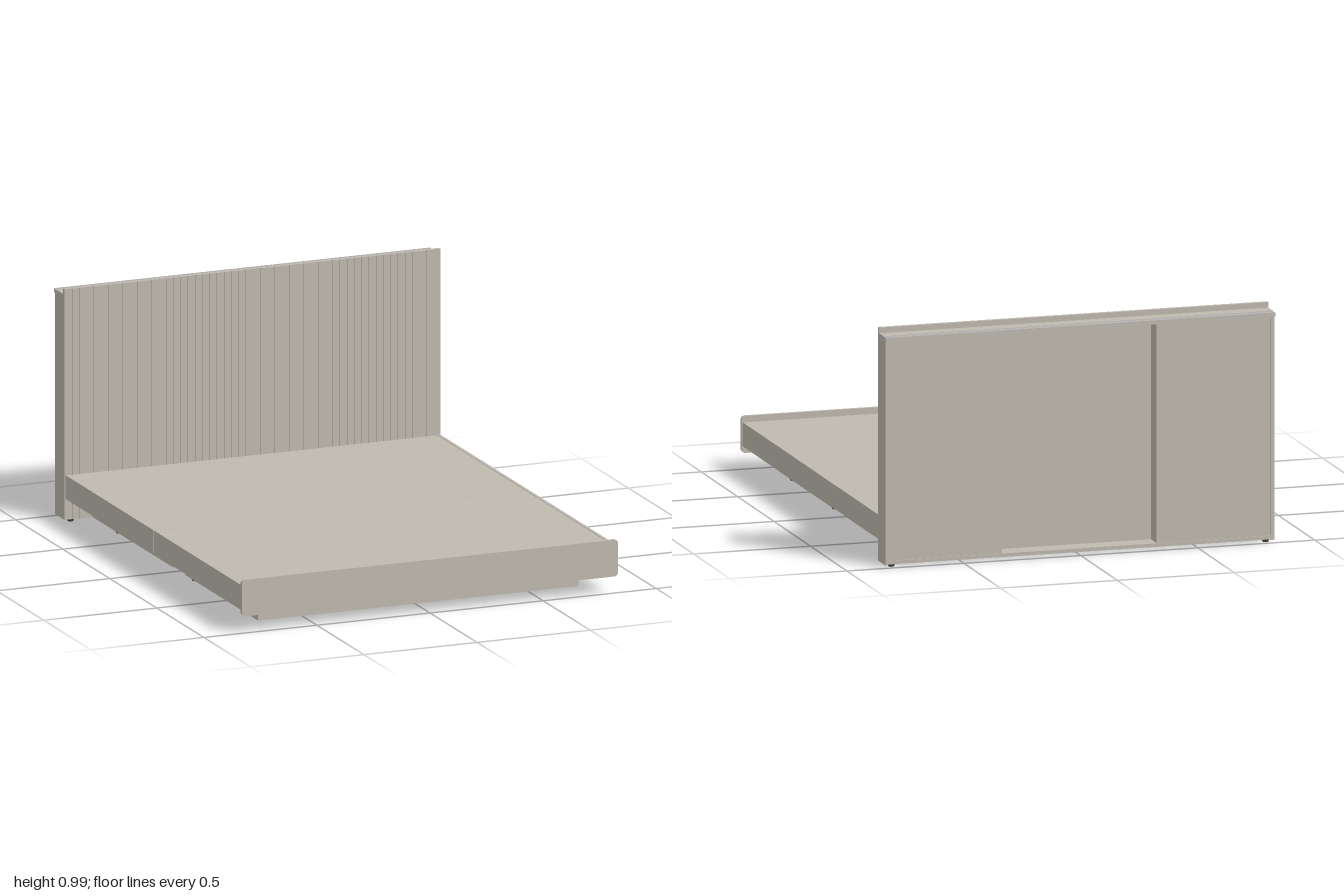
import * as THREE from 'three';

export function createModel() {
  const bed = new THREE.Group();
  bed.name = 'bed';
  const body = new THREE.MeshStandardMaterial({ color: 0xbfbab0 });
  body.name = 'warm grey board';
  const metal = new THREE.MeshStandardMaterial({ color: 0xb4b4b6 });
  metal.name = 'grey rail';
  const dark = new THREE.MeshStandardMaterial({ color: 0x4a4947 });
  dark.name = 'dark foot';

  const group = (name) => {
    const g = new THREE.Group();
    g.name = name;
    bed.add(g);
    return g;
  };
  // Box given by its limits on each axis
  const box = (parent, name, x0, x1, y0, y1, z0, z1, mat = body) => {
    const m = new THREE.Mesh(new THREE.BoxGeometry(x1 - x0, y1 - y0, z1 - z0), mat);
    m.position.set((x0 + x1) / 2, (y0 + y1) / 2, (z0 + z1) / 2);
    m.name = name;
    parent.add(m);
    return m;
  };

  // Platform: two thin top panels with side skirts, split across the middle
  const platform = group('platform');
  for (const [z0, z1] of [[-0.885, 0.049], [0.051, 0.986]]) {
    box(platform, 'topPanel', -0.816, 0.816, 0.183, 0.198, z0, z1);
    for (const s of [-1, 1]) {
      const a = s * 0.816, b = s * 0.829;
      box(platform, 'sideSkirt', Math.min(a, b), Math.max(a, b), 0.1, 0.2, z0, z1);
    }
  }

  // Footboard with rounded corners
  const w = 0.832, y0 = 0.07, y1 = 0.225, r = 0.018;
  const shape = new THREE.Shape();
  shape.moveTo(-w + r, y0);
  shape.lineTo(w - r, y0);
  shape.absarc(w - r, y0 + r, r, -Math.PI / 2, 0);
  shape.absarc(w - r, y1 - r, r, 0, Math.PI / 2);
  shape.absarc(-w + r, y1 - r, r, Math.PI / 2, Math.PI);
  shape.absarc(-w + r, y0 + r, r, Math.PI, Math.PI * 1.5);
  const foot = new THREE.Mesh(
    new THREE.ExtrudeGeometry(shape, { depth: 0.014, bevelEnabled: false, curveSegments: 6 }), body);
  foot.position.z = 0.986;
  foot.name = 'footboard';
  bed.add(foot);

  // Base: front and rear frames, joined by a lengthwise centre beam
  const base = group('base');
  const t = 0.016, bx = 0.708, low = 0.01, top = 0.183;
  for (const [z0, z1] of [[-0.884, -0.025], [0.105, 0.875]]) {
    box(base, 'crossRail', -bx, bx, low, top, z0, z0 + t);
    box(base, 'crossRail', -bx, bx, low, top, z1 - t, z1);
    box(base, 'sideRail', -bx, -bx + t, low, top, z0 + t, z1 - t);
    box(base, 'sideRail', bx - t, bx, low, top, z0 + t, z1 - t);
  }
  box(base, 'centreBeam', -0.02, 0.02, low, top, -0.868, 0.859);

  // Headboard front: backing plate and narrow vertical slats
  const headboard = group('headboard');
  box(headboard, 'frontPlate', -0.832, 0.832, 0.01, 0.985, -0.902, -0.889);
  const count = 52, pitch = 1.664 / count;
  for (let i = 0; i < count; i++) {
    const x = -0.832 + i * pitch;
    box(headboard, 'slat', x + 0.002, x + pitch - 0.002, 0.01, 0.985, -0.889, -0.885);
  }

  // Headboard cabinet: sides, floor, two closed bays and an open middle bay
  box(headboard, 'cabinetFloor', -0.815, 0.815, 0.012, 0.027, -0.985, -0.902);
  box(headboard, 'cabinetTop', -0.832, 0.832, 0.945, 0.962, -0.965, -0.902);
  for (const s of [-1, 1]) {
    const span = (name, a, b, ...rest) =>
      box(headboard, name, Math.min(s * a, s * b), Math.max(s * a, s * b), ...rest);
    span('cabinetSide', 0.815, 0.832, 0.01, 0.945, -0.987, -0.902);
    span('backPanel', 0.33, 0.815, 0.027, 0.945, -0.981, -0.969);
    span('divider', 0.33, 0.345, 0.027, 0.945, -0.969, -0.902);
  }

  // Channel rail along the rear top edge
  const rail = group('topRail');
  box(rail, 'railBed', -0.832, 0.832, 0.945, 0.951, -0.996, -0.965, metal);
  box(rail, 'railCover', -0.832, 0.832, 0.953, 0.96, -0.995, -0.965, metal);
  box(rail, 'railLip', -0.832, 0.832, 0.945, 0.962, -1.0, -0.995);

  // Small floor glides
  const feet = group('feet');
  const glide = new THREE.CylinderGeometry(0.016, 0.012, 0.011, 12);
  const addFoot = (x, z) => {
    const m = new THREE.Mesh(glide, dark);
    m.position.set(x, 0.0055, z);
    m.name = 'foot';
    feet.add(m);
  };
  for (const z of [-0.65, 0.16, 0.735]) for (const x of [-0.7, 0, 0.7]) addFoot(x * 0.985, z);
  for (const x of [-0.8, 0.8]) for (const z of [-0.9, -0.965]) addFoot(x, z);

  return bed;
}
